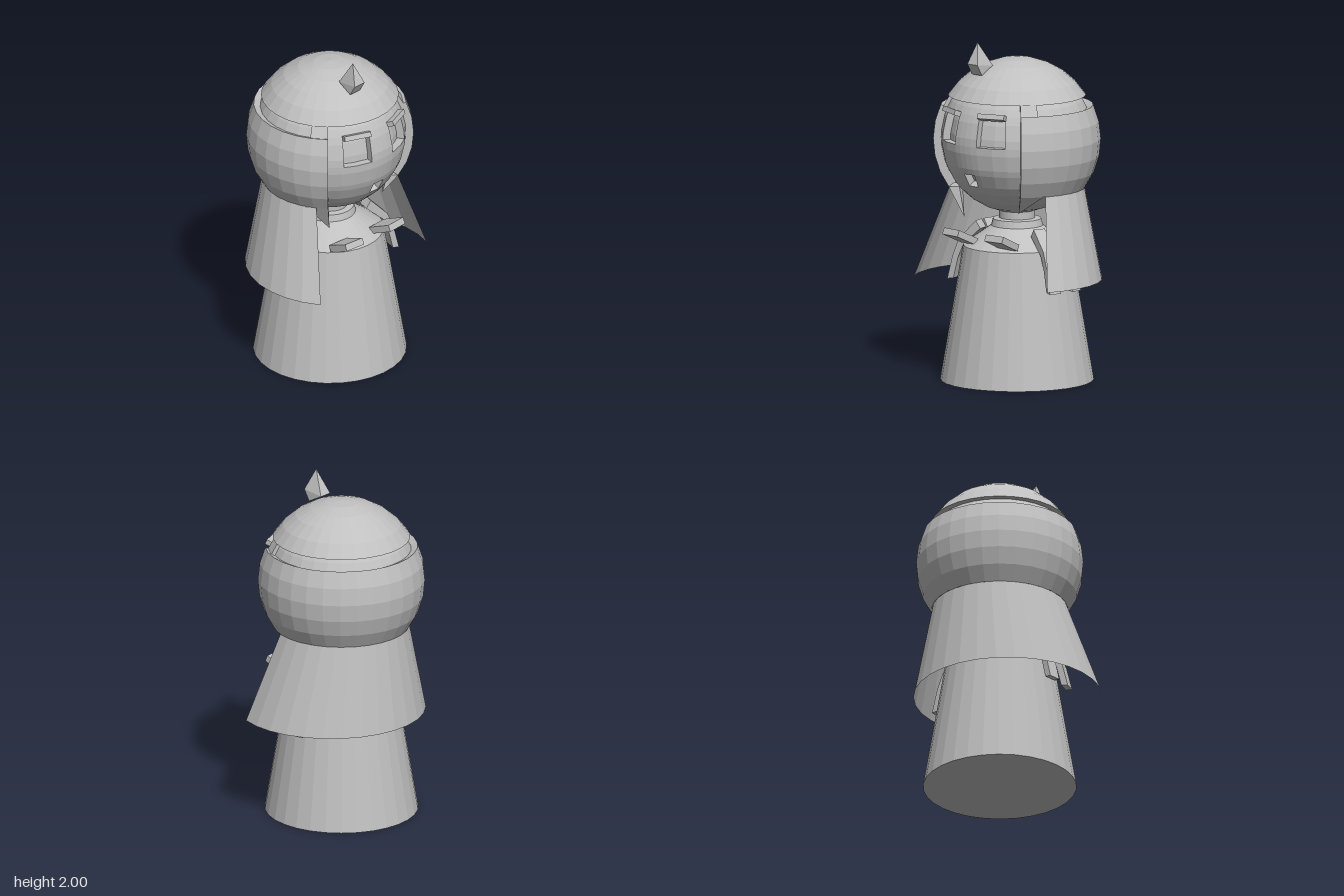
import * as THREE from 'three';
import { ConvexGeometry } from 'three/addons/geometries/ConvexGeometry.js';

const SEG = 30, RAD = Math.PI / 180;
const CX = -0.01, CZ = 0.02; // axis of the figure
const FACE_Y = 1.42, HAIR_Y = 1.41;

// Point on a sphere: t is measured from the top, a from the front towards +x (degrees)
const onSphere = (r, t, a) => [
  r * Math.sin(t * RAD) * Math.sin(a * RAD),
  r * Math.cos(t * RAD),
  r * Math.sin(t * RAD) * Math.cos(a * RAD),
];

// Face ball with sunken windows for the eyes and mouth
function faceGeometry(r, depth) {
  const ts = [66, 90, 113, 124], as = [-34, -11, -5.5, 5.5, 11, 34];
  for (let t = 0; t <= 180; t += 12) if (t !== 120) ts.push(t);
  for (let a = -180; a <= 180; a += 12) if (Math.abs(a) !== 12) as.push(a);
  ts.sort((p, q) => p - q);
  as.sort((p, q) => p - q);
  const radius = (i, j) => {
    const t = (ts[i] + ts[i + 1]) / 2, a = Math.abs(as[j] + as[j + 1]) / 2;
    const eye = t > 66 && t < 90 && a > 11 && a < 34;
    const mouth = t > 113 && t < 124 && a < 5.5;
    return eye || mouth ? r - depth : r;
  };
  const pos = [];
  const quad = (p, q, s, u) => pos.push(...p, ...q, ...s, ...p, ...s, ...u);
  for (let i = 0; i < ts.length - 1; i++) {
    for (let j = 0; j < as.length - 1; j++) {
      const c = radius(i, j), [t0, t1, a0, a1] = [ts[i], ts[i + 1], as[j], as[j + 1]];
      quad(onSphere(c, t0, a0), onSphere(c, t1, a0), onSphere(c, t1, a1), onSphere(c, t0, a1));
      // walls of the windows
      const right = j < as.length - 2 ? radius(i, j + 1) : c;
      const down = i < ts.length - 2 ? radius(i + 1, j) : c;
      if (right !== c) quad(onSphere(c, t0, a1), onSphere(c, t1, a1), onSphere(right, t1, a1), onSphere(right, t0, a1));
      if (down !== c) quad(onSphere(c, t1, a0), onSphere(down, t1, a0), onSphere(down, t1, a1), onSphere(c, t1, a1));
    }
  }
  const g = new THREE.BufferGeometry();
  g.setAttribute('position', new THREE.Float32BufferAttribute(pos, 3));
  g.computeVertexNormals();
  return g;
}

// Closed outline of a spherical shell between two polar angles
function shellProfile(rIn, rOut, t0, t1, steps) {
  const pts = [];
  const add = (r, t) => pts.push(new THREE.Vector2(Math.max(0, r * Math.sin(t * RAD)), r * Math.cos(t * RAD)));
  for (let i = 0; i <= steps; i++) add(rOut, t1 + ((t0 - t1) * i) / steps);
  for (let i = 0; i <= steps; i++) add(rIn, t0 + ((t1 - t0) * i) / steps);
  return pts;
}

export function createModel() {
  const model = new THREE.Group();
  model.name = 'figurine';
  const grey = new THREE.MeshStandardMaterial({ color: 0xc0c0c0, flatShading: true, side: THREE.DoubleSide });
  grey.name = 'plain grey';

  const add = (name, geometry, x = 0, y = 0, z = 0, parent = model) => {
    const m = new THREE.Mesh(geometry, grey);
    m.name = name;
    m.position.set(x, y, z);
    parent.add(m);
    return m;
  };

  // Shell of hair swept from angle a0 to a1, with flat ends
  const hairShell = (name, rIn, rOut, t0, t1, steps, a0, a1) => {
    const group = new THREE.Group();
    group.name = name;
    group.position.set(CX, HAIR_Y, CZ);
    const profile = shellProfile(rIn, rOut, t0, t1, steps);
    const segs = Math.max(1, Math.round((a1 - a0) / 12));
    add(name + 'Surface', new THREE.LatheGeometry([...profile, profile[0].clone()], segs, a0 * RAD, (a1 - a0) * RAD), 0, 0, 0, group);
    for (const a of [a0, a1]) {
      add(name + 'End', new THREE.ShapeGeometry(new THREE.Shape(profile)), 0, 0, 0, group).rotation.y = (a - 90) * RAD;
    }
    model.add(group);
  };

  // Tapered body with sloped shoulders, collar and neck
  const bodyProfile = [[0, 0], [0.445, 0], [0.312, 0.79], [0.15, 0.905], [0.14, 0.945], [0.105, 0.95], [0.105, 1.03]];
  add('body', new THREE.LatheGeometry(bodyProfile.map(([r, y]) => new THREE.Vector2(r, y)), SEG), CX, 0, CZ);

  // Head
  add('face', faceGeometry(0.44, 0.045), CX, FACE_Y, CZ);

  // Dome of hair on top, with an overhanging rim
  const dome = shellProfile(0.36, 0.47, 0, 58, 5).slice(0, 6);
  dome.unshift(new THREE.Vector2(0.35, dome[0].y));
  add('hairDome', new THREE.LatheGeometry(dome, SEG), CX, FACE_Y, CZ);

  // Thick hair wrapped round the back and sides, with short strands up to the dome
  hairShell('backHair', 0.435, 0.485, 65.5, 125.5, 5, 46, 314);
  hairShell('leftStrand', 0.43, 0.468, 55, 66, 1, 46, 60);
  hairShell('rightStrand', 0.43, 0.468, 55, 66, 1, 300, 314);

  // Long hair flaring out behind, leaning forward towards its hem
  const veil = new THREE.CylinderGeometry(0.392, 0.548, 0.53, 20, 1, true, 68 * RAD, 236 * RAD);
  const vp = veil.attributes.position;
  for (let i = 0; i < vp.count; i++) vp.setZ(i, vp.getZ(i) + (0.265 - vp.getY(i)) * 0.15);
  veil.computeVertexNormals();
  add('longHair', veil, CX, 0.865, CZ);

  // Pointed locks in front of the ears
  for (const [side, name, tipY] of [[1, 'leftLock', 1.02], [-1, 'rightLock', 0.95]]) {
    const pts = [[0.435, 130], [0.485, 125.5]].flatMap(([r, t]) =>
      [46, 66].map((a) => new THREE.Vector3(...onSphere(r, t, a * side))));
    pts.push(new THREE.Vector3(side * 0.215, tipY - HAIR_Y, 0.215));
    add(name, new ConvexGeometry(pts), CX, HAIR_Y, CZ);
  }

  // Tuft on the crown
  const tuft = [new THREE.Vector3(-0.08, 2.0, 0.28)];
  for (const x of [-0.113, -0.033]) {
    for (const [y, z] of [[1.875, 0.33], [1.81, 0.292], [1.86, 0.2]]) tuft.push(new THREE.Vector3(x, y, z));
  }
  add('tuft', new ConvexGeometry(tuft));

  // Bent ribbon outline, hanging over a shoulder
  const ribbon = new THREE.Shape([
    [0.22, 0.87], [0.25, 0.915], [0.36, 0.8], [0.4, 0.7], [0.435, 0.56],
    [0.395, 0.565], [0.365, 0.69], [0.33, 0.77],
  ].map(([x, y]) => new THREE.Vector2(x, y)));
  const ribbonGeometry = new THREE.ExtrudeGeometry(ribbon, { depth: 0.075, bevelEnabled: false });
  ribbonGeometry.translate(0, 0, -0.0375);

  for (const side of [1, -1]) {
    const label = side > 0 ? 'left' : 'right';

    // Lashes jutting out over the eyes
    const lash = add(label + 'Lash', new THREE.BoxGeometry(0.165, 0.03, 0.06), CX + side * 0.155, 1.597, 0.395);
    lash.rotation.set(-0.35, side * 22 * RAD, 0, 'YXZ');

    // Collar flap at the front
    const flap = add(label + 'CollarFlap', new THREE.BoxGeometry(0.13, 0.04, 0.16), CX + side * 0.165, 0.855, 0.325);
    flap.rotation.set(-0.42, side * 0.08, 0, 'YXZ');

    // Two ribbons over each shoulder
    for (const angle of [16, -6]) {
      const r = add(label + 'ShoulderRibbon', ribbonGeometry, CX, 0, CZ);
      r.rotation.y = (side > 0 ? -angle : 180 + angle) * RAD;
    }
  }
  return model;
}
